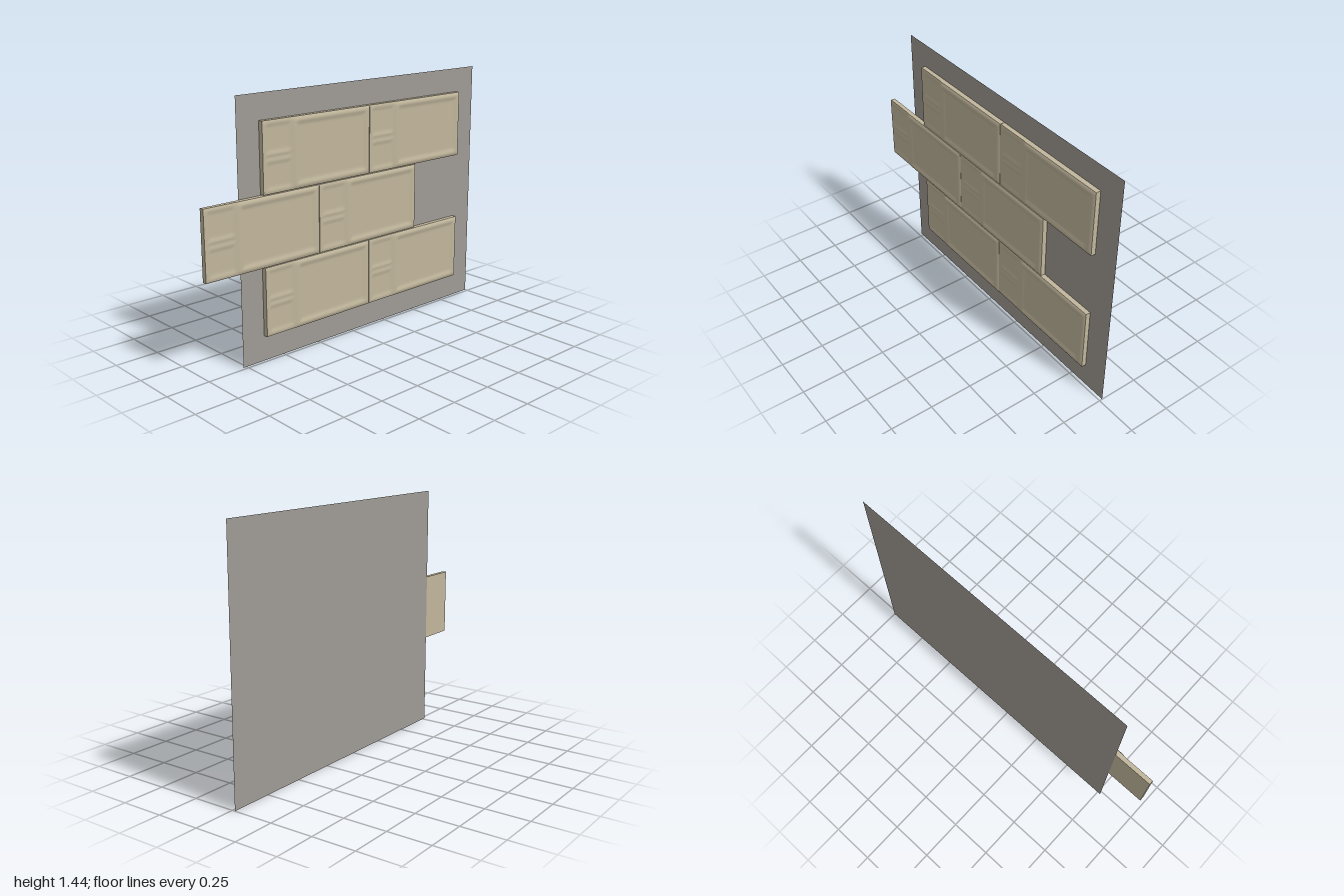
import * as THREE from 'three';

const W = 0.74, H = 0.384;           // tile size
const STEP_X = 0.743, STEP_Y = 0.388; // tile spacing
const BACK = -0.0175;

const smooth = (a, b, t) => THREE.MathUtils.smoothstep(t, a, b);

// 0 outside a rectangle, rising to 1 over a soft border inside it
function inside(u, v, u0, u1, v0, v1, border) {
  const d = Math.min(u - u0, u1 - u, v - v0, v1 - v);
  return smooth(0, border, d);
}

// Front surface of a tile, measured from its lower left corner
function relief(u, v) {
  // low strip on the left, with two sunken cells and a groove between them
  let strip = 0.011;
  strip -= 0.004 * inside(u, v, 0.02, 0.185, 0.02, 0.168, 0.014);
  strip -= 0.004 * inside(u, v, 0.02, 0.185, 0.212, 0.364, 0.014);
  strip -= 0.003 * inside(u, v, 0.02, 0.185, 0.178, 0.202, 0.01);
  // raised frame on the right, around a sunken panel
  const frame = 0.0175 - 0.0065 * inside(u, v, 0.215, 0.715, 0.022, 0.362, 0.024);
  const z = THREE.MathUtils.lerp(strip, frame, smooth(0.185, 0.21, u));
  // rounded outer edge
  const edge = Math.min(W - u, v, H - v, u + 0.012);
  return z - 0.009 * (1 - smooth(-0.006, 0.018, edge)) * smooth(0.18, 0.22, u)
    - 0.003 * (1 - smooth(0, 0.012, edge)) * (1 - smooth(0.18, 0.22, u));
}

function makeTileGeometry() {
  const geo = new THREE.BoxGeometry(W, H, 0.02, 74, 40, 1);
  const p = geo.attributes.position;
  for (let i = 0; i < p.count; i++) {
    const front = p.getZ(i) > 0;
    p.setZ(i, front ? relief(p.getX(i) + W / 2, p.getY(i) + H / 2) : BACK);
  }
  geo.computeVertexNormals();
  return geo;
}

export function createModel() {
  const model = new THREE.Group();
  model.name = 'tiledWall';

  const beige = new THREE.MeshStandardMaterial({ color: 0xc2b79d });
  beige.name = 'beige clay';
  const grey = new THREE.MeshStandardMaterial({ color: 0x9f9a94, side: THREE.DoubleSide });
  grey.name = 'warm grey';

  // flat backing sheet
  const backing = new THREE.Mesh(new THREE.PlaneGeometry(1.77, 1.443), grey);
  backing.name = 'backingSheet';
  backing.position.set(0.115, 0.7215, -0.018);
  model.add(backing);

  // three rows of two tiles, the middle row shifted by half a tile
  const tileGeo = makeTileGeometry();
  for (let row = 0; row < 3; row++) {
    const left = row === 1 ? -1 : -0.63;
    for (let col = 0; col < 2; col++) {
      const tile = new THREE.Mesh(tileGeo, beige);
      tile.name = `tileRow${row + 1}Column${col + 1}`;
      tile.position.set(left + W / 2 + col * STEP_X, 0.143 + H / 2 + row * STEP_Y, 0);
      model.add(tile);
    }
  }
  return model;
}
